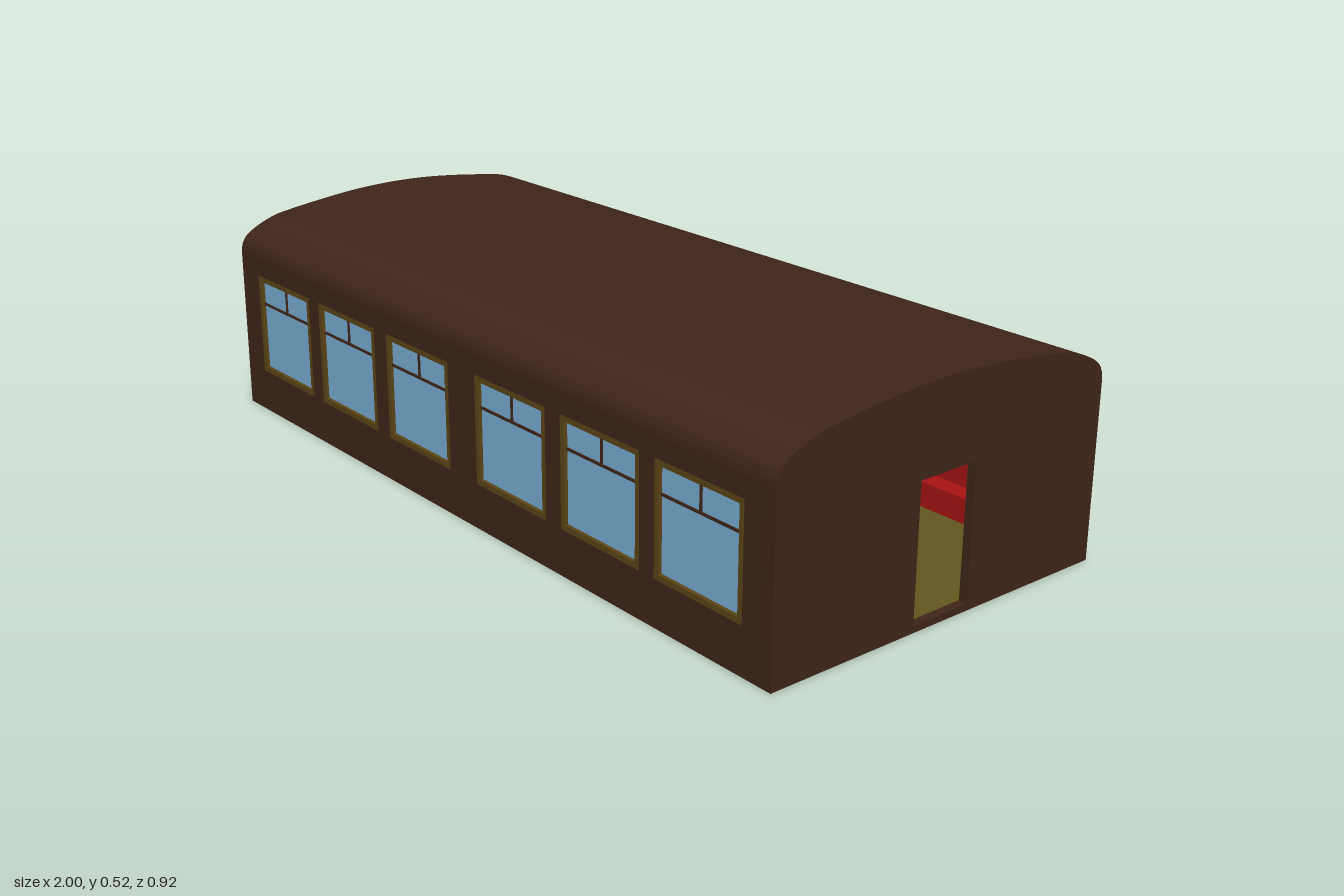
import * as THREE from 'three';
import { toCreasedNormals } from 'three/addons/utils/BufferGeometryUtils.js';

const mat = (color) => new THREE.MeshStandardMaterial({ color });
const BODY = mat(0x3f2519), FRAME = mat(0x5c4516), GLASS = mat(0x7ab0d8);
const FLOOR = mat(0x62561f), SEAT = mat(0xa81414);

const HALF_W = 0.46, EAVE = 0.41, WALL = 0.02;
const SILL = 0.107, HEAD = 0.363, WIN_W = 0.256, TRIM = 0.013;
const WINDOW_X = [-0.79, -0.488, -0.18, 0.18, 0.488, 0.79];

function add(parent, name, geometry, material, x = 0, y = 0, z = 0) {
  const mesh = new THREE.Mesh(geometry, material);
  mesh.name = name;
  mesh.position.set(x, y, z);
  parent.add(mesh);
  return mesh;
}

const box = (w, h, d) => new THREE.BoxGeometry(w, h, d);

function rect(Type, x0, y0, x1, y1) {
  const p = new Type();
  p.moveTo(x0, y0);
  p.lineTo(x1, y0);
  p.lineTo(x1, y1);
  p.lineTo(x0, y1);
  p.closePath();
  return p;
}

const extrude = (shape, depth) => new THREE.ExtrudeGeometry(shape, { depth, bevelEnabled: false });

// Roof arch, from the +z eave over the ridge to the -z eave
function roofArch() {
  const half = [
    [0.46, 0.41], [0.456, 0.43], [0.443, 0.449], [0.415, 0.467], [0.375, 0.484],
    [0.33, 0.495], [0.2, 0.512], [0.1, 0.521], [0, 0.524],
  ];
  const all = [...half, ...half.slice(0, -1).reverse().map(([z, y]) => [-z, y])];
  return new THREE.SplineCurve(all.map(([z, y]) => new THREE.Vector2(z, y))).getPoints(48);
}

// One window: trim, pane and glazing bars; z = 0 is the outer wall face
function buildWindow() {
  const g = new THREE.Group();
  g.name = 'window';
  const w = WIN_W / 2;
  const trim = rect(THREE.Shape, -w, SILL, w, HEAD);
  trim.holes.push(rect(THREE.Path, -w + TRIM, SILL + TRIM, w - TRIM, HEAD - TRIM));
  add(g, 'windowFrame', extrude(trim, WALL), FRAME, 0, 0, -WALL);
  add(g, 'windowPane', box(WIN_W - 2 * TRIM, HEAD - SILL - 2 * TRIM, 0.004), GLASS, 0, (SILL + HEAD) / 2, -0.011);
  add(g, 'transomBar', box(WIN_W - 2 * TRIM, 0.006, 0.008), BODY, 0, 0.289, -0.01);
  add(g, 'ventBar', box(0.006, HEAD - TRIM - 0.289, 0.008), BODY, 0, (HEAD - TRIM + 0.289) / 2, -0.01);
  return g;
}

function buildSide() {
  const side = new THREE.Group();
  side.name = 'side';
  const L = 1 - WALL;
  const wall = rect(THREE.Shape, -L, 0, L, EAVE);
  for (const x of WINDOW_X) {
    wall.holes.push(rect(THREE.Path, x - WIN_W / 2, SILL, x + WIN_W / 2, HEAD));
    const win = buildWindow();
    win.position.set(x, 0, HALF_W);
    side.add(win);
  }
  add(side, 'sideWall', extrude(wall, WALL), BODY, 0, 0, HALF_W - WALL);
  return side;
}

export function createModel() {
  const model = new THREE.Group();
  model.name = 'railwayCarriage';
  const arch = roofArch();

  // Side walls, mirrored front and back
  const front = buildSide();
  const back = buildSide();
  back.rotation.y = Math.PI;
  model.add(front, back);

  // Hollow roof shell
  const inner = arch.map((p) => new THREE.Vector2(p.x * (1 - WALL / HALF_W), EAVE + (p.y - EAVE) * 0.85));
  const roofGeo = extrude(new THREE.Shape([...arch, ...inner.reverse()]), 2 - 2 * WALL);
  roofGeo.rotateY(Math.PI / 2);
  add(model, 'roof', toCreasedNormals(roofGeo, 0.6), BODY, -1 + WALL);

  // End walls with open doorways
  const end = new THREE.Shape([new THREE.Vector2(-HALF_W, 0), new THREE.Vector2(HALF_W, 0), ...arch]);
  end.holes.push(rect(THREE.Path, -0.078, 0.016, 0.078, 0.325));
  const endGeo = toCreasedNormals(extrude(end, WALL).rotateY(Math.PI / 2), 0.6);
  add(model, 'rightEndWall', endGeo, BODY, 1 - WALL);
  add(model, 'leftEndWall', endGeo, BODY, -1);

  // Underside and inner floor
  const innerW = 2 * (HALF_W - WALL), innerL = 2 - 2 * WALL;
  add(model, 'base', box(innerL, 0.01, innerW), BODY, 0, 0.005);
  add(model, 'floor', box(innerL, 0.006, innerW), FLOOR, 0, 0.013);

  // Bench along the back wall
  const bench = new THREE.Group();
  bench.name = 'bench';
  add(bench, 'benchSeat', box(0.4, 0.06, 0.07), SEAT, 0, 0.046, -0.405);
  add(bench, 'benchBack', box(0.4, 0.13, 0.02), SEAT, 0, 0.081, -0.43);
  bench.position.x = 0.7;
  model.add(bench);

  return model;
}
